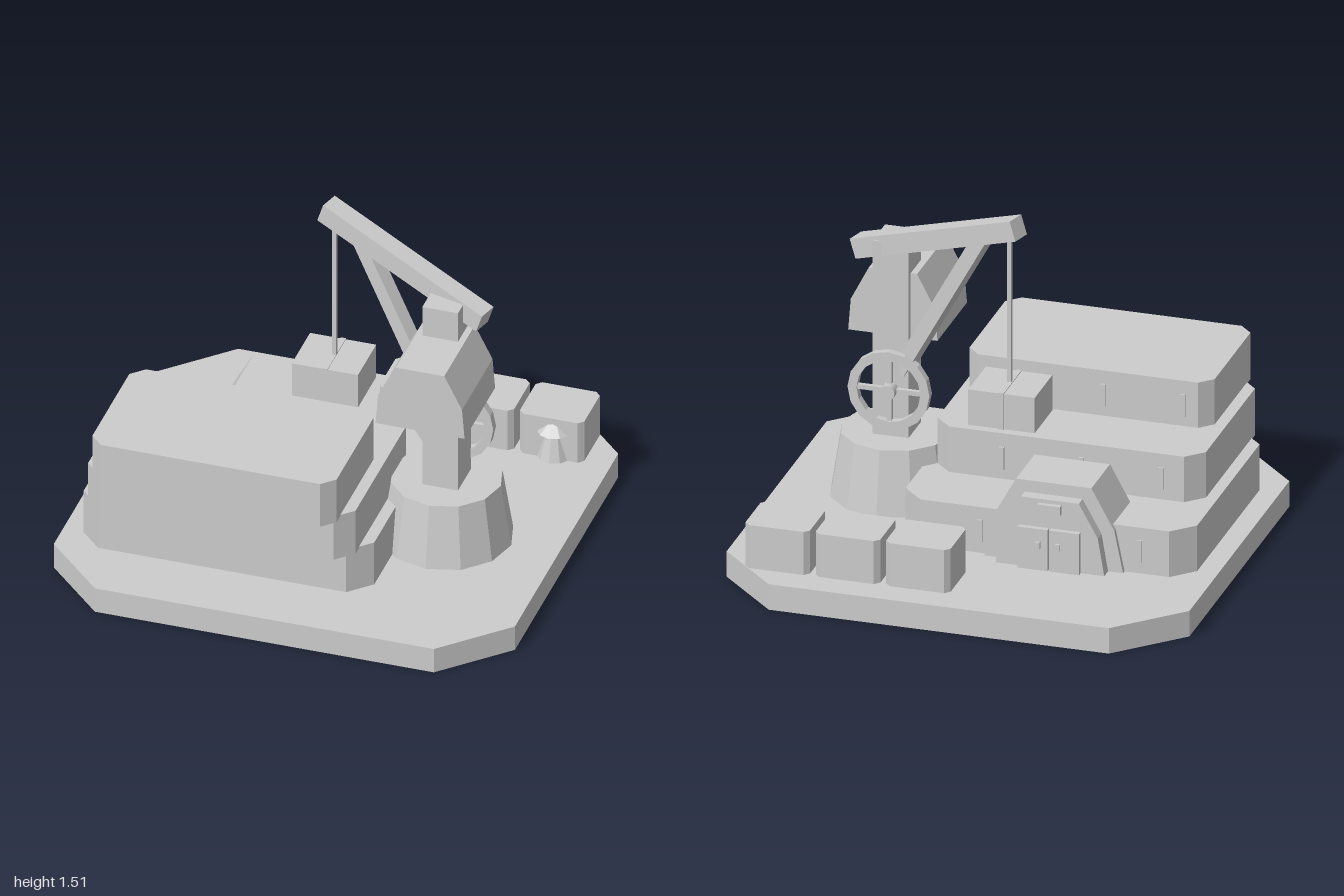
import * as THREE from 'three';

export function createModel() {
  const model = new THREE.Group();
  const grey = new THREE.MeshStandardMaterial({ color: 0xcccccc, side: THREE.DoubleSide });
  grey.name = 'plain grey';

  const add = (name, geometry, x = 0, y = 0, z = 0, parent = model) => {
    const mesh = new THREE.Mesh(geometry, grey);
    mesh.name = name;
    mesh.position.set(x, y, z);
    parent.add(mesh);
    return mesh;
  };
  // Box given by its limits on each axis
  const box = (name, x0, x1, y0, y1, z0, z1) =>
    add(name, new THREE.BoxGeometry(x1 - x0, y1 - y0, z1 - z0),
      (x0 + x1) / 2, (y0 + y1) / 2, (z0 + z1) / 2);
  const shapeOf = (points) => new THREE.Shape(points.map(([x, y]) => new THREE.Vector2(x, y)));
  const extrude = (shape, depth) =>
    new THREE.ExtrudeGeometry(shape, { depth, bevelEnabled: false });
  // Rectangle of half size w by d with cut corners
  const octagon = (w, d, c) => [[-w + c, -d], [w - c, -d], [w, -d + c], [w, d - c],
    [w - c, d], [-w + c, d], [-w, d - c], [-w, -d + c]];
  // Upright block with its four vertical corners cut off
  const block = (name, x0, x1, y0, y1, z0, z1, c) =>
    add(name, extrude(shapeOf(octagon((x1 - x0) / 2, (z1 - z0) / 2, c)), y1 - y0).rotateX(-Math.PI / 2),
      (x0 + x1) / 2, y0, (z0 + z1) / 2);
  // Mirrored profile of [half width, height] points, pulled along z
  const hull = (name, cx, half, z0, z1) => {
    const left = half.map(([w, y]) => [-w, y]).reverse();
    return add(name, extrude(shapeOf([...half, ...left]), z1 - z0), cx, 0, z0);
  };
  // Square beam between two points, kept level across its width
  const beam = (name, a, b, size) => {
    const p = new THREE.Vector3(...a), q = new THREE.Vector3(...b);
    const mesh = add(name, new THREE.BoxGeometry(size, size, p.distanceTo(q)));
    mesh.position.copy(p).lerp(q, 0.5);
    mesh.lookAt(q);
    return mesh;
  };

  // Ground slab: a hollow tray, open underneath
  const slabTop = 0.115;
  const outline = octagon(1, 0.95, 0.265);
  add('slabTop', new THREE.ShapeGeometry(shapeOf(outline)).rotateX(-Math.PI / 2), 0, slabTop, 0);
  outline.forEach(([x, y], i) => {
    const [nx, ny] = outline[(i + 1) % outline.length];
    const wall = new THREE.PlaneGeometry(Math.hypot(nx - x, ny - y), slabTop);
    wall.rotateY(Math.atan2(ny - y, nx - x));
    add('slabWall', wall, (x + nx) / 2, slabTop / 2, -(y + ny) / 2);
  });

  // Stepped building with narrow slit windows on the back of each storey
  const storeys = [
    [-0.91, 0.35, 0.115, 0.321, -0.385, 0.655, 0.092],
    [-0.86, 0.3, 0.315, 0.526, -0.085, 0.73, 0.072],
    [-0.81, 0.25, 0.52, 0.73, 0.21, 0.81, 0.055],
  ];
  storeys.forEach((s) => {
    block('storey', ...s);
    for (const x of [-0.69, -0.345, 0])
      box('slitWindow', x - 0.011, x + 0.011, s[2] + 0.05, s[2] + 0.15, s[4] - 0.009, s[4] + 0.005);
  });

  // Arched entrance with double doors
  const cx = -0.325;
  hull('entranceShell', cx, [[0.3, 0.115], [0.262, 0.3], [0.163, 0.48]], -0.405, -0.15);
  hull('entranceFrame', cx, [[0.235, 0.115], [0.207, 0.28], [0.125, 0.427]], -0.457, -0.4);
  box('doorSign', cx - 0.05, cx + 0.05, 0.37, 0.41, -0.478, -0.45);
  for (const s of [-1, 1]) {
    const x = cx + s * 0.068;
    box('door', x - 0.065, x + 0.065, 0.115, 0.3, -0.48, -0.45);
    const k = cx + s * 0.043;
    box('doorHandle', k - 0.009, k + 0.009, 0.215, 0.245, -0.493, -0.47);
  }

  // Row of containers
  for (let i = 0; i < 3; i++) {
    const x = i * 0.304;
    block('container', x - 0.003, x + 0.276, 0.115, 0.309, -0.818, -0.568, 0.022);
  }

  // Small capped bollard in front of the last container
  add('bollardBody', new THREE.CylinderGeometry(0.038, 0.073, 0.13, 10).toNonIndexed(), 0.752, 0.178, -0.597);
  add('bollardCap', new THREE.ConeGeometry(0.073, 0.075, 10).toNonIndexed(), 0.752, 0.275, -0.597);

  // Crane pedestal and mast
  add('cranePedestal', new THREE.CylinderGeometry(0.235, 0.28, 0.283, 12).toNonIndexed(), 0.515, 0.2565, 0.107);
  box('craneMast', 0.438, 0.593, 0.39, 1.27, 0.025, 0.195);
  hull('craneCabin', 0.515, [[0.193, 0.84], [0.182, 0.98], [0.105, 1.13]], 0.055, 0.46);

  // Boom, brace and hoist
  beam('craneBoom', [-0.076, 1.47, -0.1], [0.68, 1.203, 0.105], 0.088);
  beam('craneBrace', [0.087, 1.39, -0.065], [0.475, 0.69, 0.058], 0.064);
  box('hoistCable', -0.044, -0.026, 0.76, 1.44, -0.098, -0.08);
  box('hangingCrate', -0.182, 0.105, 0.605, 0.764, -0.212, 0.03);
  box('crateStrap', -0.049, -0.026, 0.603, 0.768, -0.214, 0.032);

  // Hand wheel on the back of the mast
  const wheel = new THREE.Group();
  wheel.name = 'handWheel';
  wheel.position.set(0.515, 0.612, 0.012);
  model.add(wheel);
  const circle = (r) => Array.from({ length: 16 }, (_, i) =>
    [r * Math.cos(i * Math.PI / 8), r * Math.sin(i * Math.PI / 8)]);
  const rim = shapeOf(circle(0.177));
  rim.holes.push(shapeOf(circle(0.138)));
  add('wheelRim', extrude(rim, 0.036), 0, 0, -0.018, wheel);
  add('wheelSpoke', new THREE.BoxGeometry(0.3, 0.02, 0.02), 0, 0, 0, wheel);
  add('wheelSpoke', new THREE.BoxGeometry(0.02, 0.3, 0.02), 0, 0, 0, wheel);
  add('wheelHub', new THREE.CylinderGeometry(0.033, 0.033, 0.054, 12).rotateX(Math.PI / 2), 0, 0, -0.012, wheel);

  // Facet the tapered round parts
  model.traverse((o) => {
    if (o.isMesh && !o.geometry.index) o.geometry.computeVertexNormals();
  });
  return model;
}
